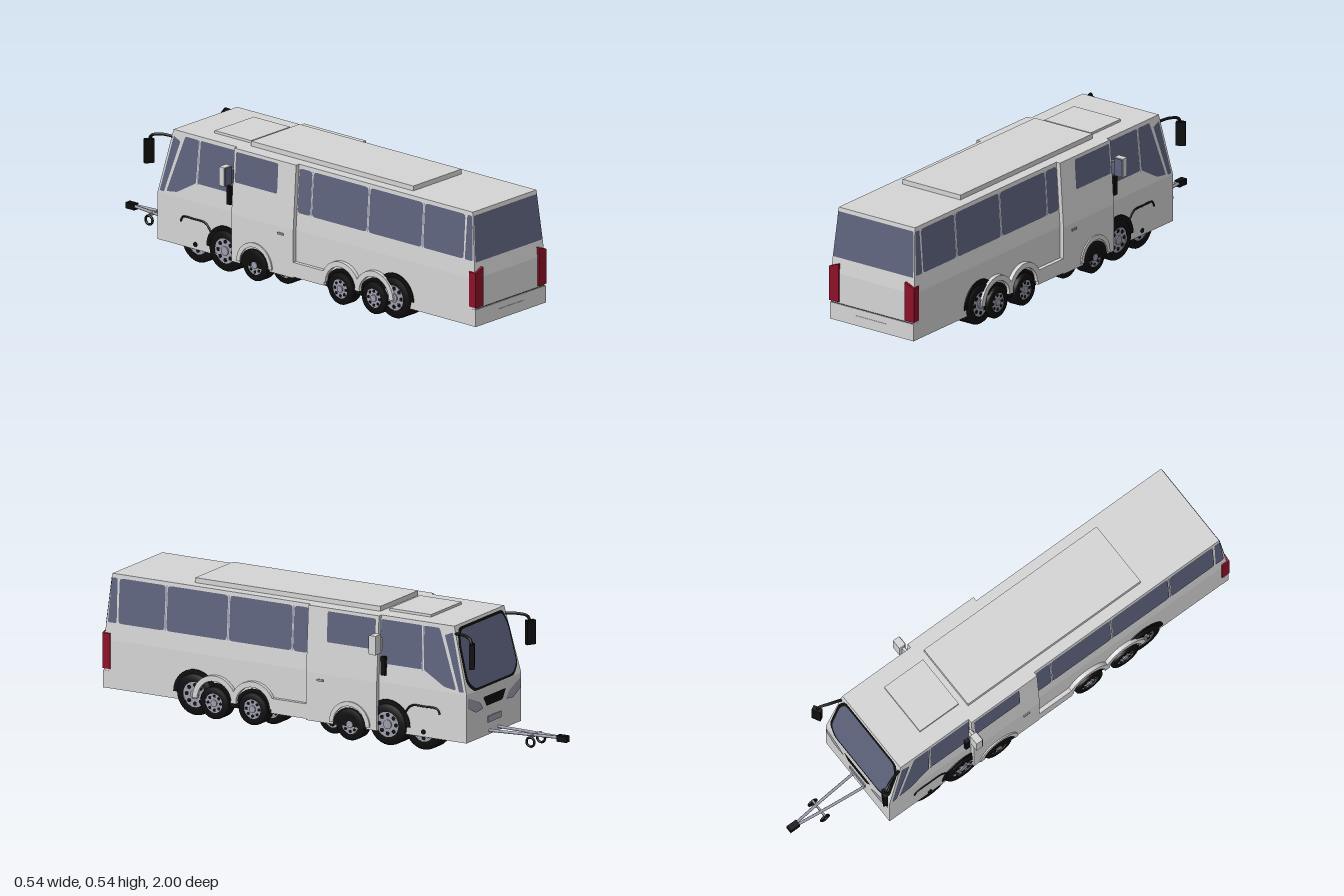
import * as THREE from 'three';
import { ConvexGeometry } from 'three/addons/geometries/ConvexGeometry.js';

const mat = (name, color, side = THREE.FrontSide) => {
  const m = new THREE.MeshStandardMaterial({ color, side });
  m.name = name;
  return m;
};

export function createModel() {
  const bus = new THREE.Group();
  bus.name = 'coach';
  const paint = mat('body paint', 0xd4d4d4, THREE.DoubleSide);
  const glass = mat('tinted glass', 0x5d627c, THREE.DoubleSide);
  const black = mat('black rubber', 0x0d0d0d, THREE.DoubleSide);
  const red = mat('red lamp', 0x8c1028);
  const metal = mat('pale metal', 0x9c9cac, THREE.DoubleSide);
  const grey = mat('dark grey', 0x4a4a4a);
  const yellow = mat('yellow liner', 0xc0a020, THREE.DoubleSide);

  const add = (name, geo, m, x = 0, y = 0, z = 0) => {
    const mesh = new THREE.Mesh(geo, m);
    mesh.name = name;
    mesh.position.set(x, y, z);
    bus.add(mesh);
    return mesh;
  };
  // Box given by its lower and upper limits
  const box = (name, m, x0, x1, y0, y1, z0, z1) =>
    add(name, new THREE.BoxGeometry(Math.abs(x1 - x0), y1 - y0, z1 - z0), m, (x0 + x1) / 2, (y0 + y1) / 2, (z0 + z1) / 2);
  const tube = (name, m, pts, r) =>
    add(name, new THREE.TubeGeometry(new THREE.CatmullRomCurve3(pts.map(p => new THREE.Vector3(...p))), 16, r, 8), m);

  // Polygon with softened corners
  const rounded = (pts, r) => {
    const s = new THREE.Shape(), v = pts.map(p => new THREE.Vector2(...p)), n = v.length;
    v.forEach((p, i) => {
      const toward = q => p.clone().add(q.clone().sub(p).setLength(r));
      const a = toward(v[(i + n - 1) % n]), b = toward(v[(i + 1) % n]);
      if (i) s.lineTo(a.x, a.y); else s.moveTo(a.x, a.y);
      s.quadraticCurveTo(p.x, p.y, b.x, b.y);
    });
    s.closePath();
    return s;
  };
  // Thin plate laid on a surface by a rule (u, v) -> [x, y, z]
  const plate = (name, m, pts, rule, r = 0.008) => {
    const g = new THREE.ShapeGeometry(rounded(pts, r), 4), p = g.attributes.position;
    for (let i = 0; i < p.count; i++) p.setXYZ(i, ...rule(p.getX(i), p.getY(i)));
    g.computeVertexNormals();
    return add(name, g, m);
  };
  // Walls lean inward above the belt line
  const BELT = 0.25, TOP = 0.515;
  const lean = (low, high, y) => low + (high - low) * Math.max(0, y - BELT) / (TOP - BELT);
  const onSide = (s, off = 0.002) => (z, y) => [s * (lean(0.205, 0.187, y) + off), y, z];
  const onCab = s => (z, y) => [s * (lean(0.222, 0.205, y) + 0.002), y, z];
  const onRear = (x, y) => [x, y, lean(0.992, 0.965, y) + 0.003];
  const onNose = off => (x, y) => [x, y, lean(-0.662, -0.595, y) - off];

  // Shell sections
  const shell = (name, w0, w1, z0, z1, t0, t1) => {
    const pts = [];
    for (const s of [-1, 1])
      for (const [w, y, a, b] of [[w0, 0.055, z0, z1], [w0, BELT, z0, z1], [w1, TOP, t0, t1]])
        pts.push(new THREE.Vector3(s * w, y, a), new THREE.Vector3(s * w, y, b));
    add(name, new ConvexGeometry(pts), paint);
  };
  shell('bodyShell', 0.205, 0.187, -0.662, 0.992, -0.595, 0.965);
  shell('cabSection', 0.222, 0.205, -0.262, 0.06, -0.262, 0.06);
  box('roofPod', paint, -0.142, 0.142, 0.51, 0.535, -0.23, 0.615);
  box('roofHatch', paint, -0.115, 0.115, 0.51, 0.525, -0.445, -0.255);

  // Rear end
  plate('rearWindow', glass, [[-0.185, 0.5], [0.185, 0.5], [0.197, 0.315], [-0.197, 0.315]], onRear, 0.003);
  box('rearBumper', paint, -0.206, 0.206, 0.055, 0.125, 0.97, 0.997);
  box('plateRecess', paint, -0.076, 0.076, 0.066, 0.097, 0.99, 0.999);
  box('bumperSeam', grey, -0.2, 0.2, 0.125, 0.127, 0.98, 0.9945);

  // Nose: framed windscreen, grille, plate
  const screen = [[-0.165, 0.505], [0.165, 0.505], [0.188, 0.45], [0.192, 0.29], [0.15, 0.252], [-0.15, 0.252], [-0.192, 0.29], [-0.188, 0.45]];
  plate('windscreenFrame', black, screen, onNose(0.002), 0.02);
  plate('windscreen', glass, screen.map(([x, y]) => [x * 0.94, 0.38 + (y - 0.38) * 0.92]), onNose(0.005), 0.02);
  plate('grille', black, [[-0.085, 0.215], [0.085, 0.215], [0.06, 0.175], [-0.06, 0.175]], onNose(0.003));
  box('frontPlate', metal, -0.05, 0.05, 0.105, 0.13, -0.666, -0.66);

  // Side panes: z start and z end
  const panes = [[0.93, 0.72], [0.71, 0.435], [0.425, 0.14], [0.132, 0.065]];
  const wheel = (s, z, r, outer, width) => {
    const h = width / 2, g = new THREE.Group();
    g.name = 'wheel';
    const prof = [[r * 0.6, -h], [r * 0.92, -h], [r, -h * 0.8], [r, h * 0.8], [r * 0.92, h], [r * 0.6, h]];
    const part = (name, geo, m, x) => {
      const p = new THREE.Mesh(geo.rotateZ(-Math.PI / 2), m);
      p.name = name;
      p.position.x = x;
      g.add(p);
      return p;
    };
    part('tyre', new THREE.LatheGeometry(prof.map(p => new THREE.Vector2(...p)), 28), black, 0);
    part('rim', new THREE.CylinderGeometry(r * 0.62, r * 0.62, width - 0.008, 24), metal, 0);
    part('hub', new THREE.CylinderGeometry(r * 0.22, r * 0.22, width + 0.002, 12), metal, 0);
    for (let i = 0; i < 8; i++) {
      const a = i * Math.PI / 4;
      const hole = part('rimHole', new THREE.CylinderGeometry(r * 0.1, r * 0.1, 0.003, 8), black, s * (h - 0.004));
      hole.position.y = Math.sin(a) * r * 0.44;
      hole.position.z = Math.cos(a) * r * 0.44;
    }
    g.position.set(s * (outer - h), r, z);
    bus.add(g);
  };
  // Half-ring wheel arch standing on the side
  const arch = (name, m, s, z, y, r0, r1, outer, depth) => {
    const sh = new THREE.Shape();
    sh.absarc(0, 0, r1, 0, Math.PI, false);
    if (r0) sh.absarc(0, 0, r0, Math.PI, 0, true);
    sh.closePath();
    const g = new THREE.ExtrudeGeometry(sh, { depth, bevelEnabled: false, curveSegments: 10 }).rotateY(-Math.PI / 2);
    add(name, g, m, s > 0 ? outer : -outer + depth, y, z);
  };

  for (const s of [1, -1]) {
    // Side glazing
    plate('rearQuarterGlass', glass, [[0.965, 0.5], [0.94, 0.5], [0.937, 0.32], [0.977, 0.32]], onSide(s));
    for (const [a, b] of panes)
      plate('sideWindow', glass, [[a, 0.5], [b, 0.5], [b, 0.32], [a, 0.32]], onSide(s), 0.015);
    plate('cabWindow', glass, [[-0.03, 0.503], [-0.25, 0.503], [-0.25, 0.38], [-0.03, 0.38]], onCab(s));
    plate('frontWindow', glass, [[-0.265, 0.5], [-0.45, 0.5], [-0.455, 0.325], [-0.265, 0.325]], onSide(s));
    plate('driverWindow', glass, [[-0.46, 0.5], [-0.53, 0.5], [-0.545, 0.46], [-0.615, 0.262], [-0.56, 0.27], [-0.465, 0.325]], onSide(s));
    plate('cornerGlass', glass, [[-0.555, 0.475], [-0.59, 0.49], [-0.65, 0.258], [-0.628, 0.258]], onSide(s), 0.004);
    for (const z of [0.715, 0.43, 0.136, -0.4575])
      plate('pillarTrim', metal, [[z + 0.003, 0.5], [z - 0.003, 0.5], [z - 0.003, 0.32], [z + 0.003, 0.32]], onSide(s), 0.001);

    // Tail lamp wrapping the corner
    const lamp = new THREE.Shape([[0.163, 0.133], [0.208, 0.133], [0.208, 0.275], [0.19, 0.282], [0.163, 0.292]].map(p => new THREE.Vector2(s * p[0], p[1])));
    add('tailLamp', new THREE.ExtrudeGeometry(lamp, { depth: 0.035, bevelEnabled: false }), red, 0, 0, 0.964);
    plate('headlamp', metal, [[s * 0.198, 0.235], [s * 0.198, 0.195], [s * 0.14, 0.165], [s * 0.085, 0.17], [s * 0.11, 0.2]], onNose(0.003));

    // Skirt, arches and door details
    box('skirt', paint, s * 0.19, s * 0.222, 0.06, 0.12, 0.05, 0.22);
    for (const z of [0.48, 0.305]) {
      arch('rearArch', paint, s, z, 0.075, 0.078, 0.1, 0.222, 0.03);
      arch('archLiner', black, s, z, 0.055, 0, 0.088, 0.208, 0.02);
    }
    arch('cabArch', paint, s, -0.14, 0.065, 0.074, 0.092, 0.228, 0.02);
    arch('cabArchLiner', black, s, -0.14, 0.056, 0, 0.076, 0.2235, 0.02);
    arch('axleLiner', black, s, 0.575, 0.085, 0, 0.1, 0.209, 0.02);
    arch('axleLiner', black, s, -0.305, 0.085, 0, 0.1, 0.209, 0.02);
    box('doorHandle', metal, s * 0.22, s * 0.227, 0.22, 0.228, -0.02, 0.01);
    box('doorTrim', black, s * 0.2, s * 0.215, 0.28, 0.355, -0.295, -0.275);
    tube('fenderTrim', black, [[s * 0.206, 0.14, -0.38], [s * 0.206, 0.174, -0.41], [s * 0.206, 0.178, -0.47], [s * 0.206, 0.175, -0.53], [s * 0.206, 0.155, -0.54]], 0.004);
    add('sideMarker', new THREE.CylinderGeometry(0.01, 0.01, 0.006, 12).rotateZ(Math.PI / 2), black, s * 0.205, 0.075, -0.465);

    // Cab mirror
    box('mirrorArm', paint, s * 0.2, s * 0.235, 0.375, 0.43, -0.272, -0.262);
    box('mirrorHousing', paint, s * 0.228, s * 0.27, 0.373, 0.45, -0.285, -0.257);
    box('mirrorGlass', glass, s * 0.23, s * 0.268, 0.376, 0.447, -0.257, -0.253);
    box('mirrorArmFace', glass, s * 0.205, s * 0.23, 0.378, 0.428, -0.262, -0.258);
    // Nose mirror
    tube('frontMirrorArm', black, [[s * 0.185, 0.485, -0.6], [s * 0.2, 0.487, -0.65], [s * 0.215, 0.478, -0.685], [s * 0.218, 0.455, -0.695]], 0.006);
    const fm = box('frontMirror', black, s * 0.2, s * 0.238, 0.365, 0.463, -0.705, -0.685);
    fm.rotation.y = s * 0.5;

    // Wheels
    for (const z of [0.48, 0.305, -0.14]) wheel(s, z, 0.065, 0.225, 0.06);
    for (const z of [0.575, -0.305]) wheel(s, z, 0.085, 0.214, 0.1);
    wheel(s, -0.46, 0.085, 0.2, 0.08);
    for (const z of [0.25, -0.03]) wheel(s, z, 0.065, 0.175, 0.09);

    // Chassis rails and well liners
    box('chassisRail', black, s * 0.045, s * 0.065, 0.03, 0.056, -0.35, 0.62);
    for (const z of [0.71, 0.13, -0.37])
      plate('wellLiner', yellow, [[s * 0.19, z - 0.04], [s * 0.1, z - 0.03], [s * 0.17, z + 0.04]], (x, w) => [x, 0.053, w], 0.003);

    // Drawbar leg and support ring
    tube('drawbarLeg', metal, [[s * 0.035, 0.07, -0.655], [s * 0.02, 0.073, -0.82], [s * 0.003, 0.075, -0.975]], 0.006);
    const ring = add('supportRing', new THREE.TorusGeometry(0.018, 0.005, 8, 20), black, s * 0.04, 0.05, -0.853);
    ring.rotation.set(0.3, Math.PI / 2, 0);
  }

  // Underside
  box('floorPanel', grey, -0.1, 0.1, 0.045, 0.056, -0.3, 0.6);
  box('centrePan', black, -0.09, 0.09, 0.036, 0.05, -0.26, 0.12);
  for (const z of [0.575, 0.48, 0.305, -0.03, -0.14, -0.305, -0.46])
    add('axle', new THREE.CylinderGeometry(0.012, 0.012, 0.36, 10).rotateZ(Math.PI / 2), black, 0, 0.045, z);
  tube('towHook', black, [[-0.03, 0.057, 0.83], [-0.028, 0.043, 0.83], [0, 0.041, 0.83], [0.028, 0.043, 0.83], [0.03, 0.057, 0.83]], 0.003);

  // Drawbar coupling
  box('drawbarCross', metal, -0.04, 0.04, 0.066, 0.076, -0.857, -0.849);
  box('coupling', black, -0.013, 0.013, 0.06, 0.085, -1, -0.955);
  return bus;
}
